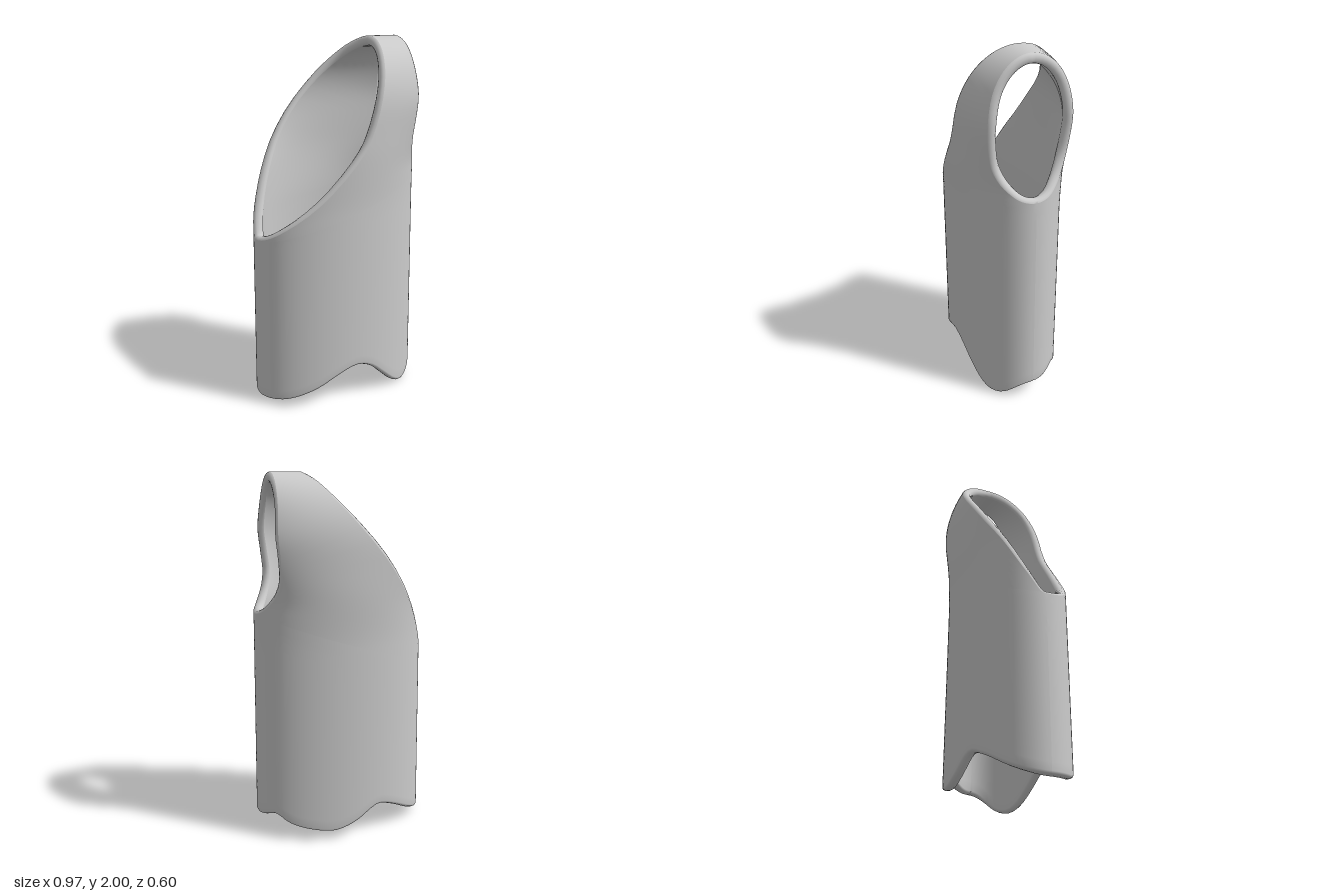
import * as THREE from 'three';
import { mergeVertices } from 'three/addons/utils/BufferGeometryUtils.js';

const T = 0.052;   // cloth thickness
const BULGE = 0.018; // roundness of the rims
const NU = 44, NLOW = 22, NV = 56, NRIM = 5;
const LEFT_TOP = 0.955, RIGHT_TOP = 1.265; // heights where the side seams end

// Oval cross-section of the body: half width and squared half depth at height y
const halfWidth = y => 0.488 - 0.012 * y + 0.14 * THREE.MathUtils.smoothstep(y, 1.3, 1.72);
function depthSq(y) {
  const d = 0.284 + 0.014 * THREE.MathUtils.smoothstep(y, 1.1, 1.45);
  const arch = y > 1.6 ? 1 - Math.pow((y - 1.6) / 0.4, 2.3) : 1;
  return d * d * arch;
}
const field = (x, y) => depthSq(y) * (1 - (x / halfWidth(y)) ** 2);

function surfacePoint(x, y, side) {
  return new THREE.Vector3(x, y, side * Math.sqrt(Math.max(0, field(x, y))));
}
function surfaceNormal(p) {
  const h = 1e-4;
  return new THREE.Vector3(
    (field(p.x - h, p.y) - field(p.x + h, p.y)) / (2 * h),
    (field(p.x, p.y - h) - field(p.x, p.y + h)) / (2 * h),
    2 * p.z).normalize();
}

const spline = pts => new THREE.SplineCurve(pts.map(p => new THREE.Vector2(...p)));
const heightLine = pts => {
  const c = new THREE.CubicInterpolant(pts.map(p => p[0]), pts.map(p => p[1] + BULGE), 1);
  return x => c.evaluate(x)[0];
};

// Wavy hems, slanted necklines and the armhole
const hems = {
  front: heightLine([[-0.49, 0.025], [-0.4, 0.04], [-0.25, 0.1], [-0.1, 0.185], [0, 0.215], [0.1, 0.185],
    [0.2, 0.1], [0.28, 0.03], [0.34, 0.002], [0.41, 0.02], [0.49, 0.11]]),
  back: heightLine([[-0.49, 0.025], [-0.4, 0.07], [-0.25, 0.15], [-0.15, 0.175], [0, 0.09], [0.1, 0.055],
    [0.2, 0.06], [0.35, 0.1], [0.42, 0.145], [0.49, 0.11]]),
};
const neckStart = [-halfWidth(LEFT_TOP), LEFT_TOP];
const necklines = {
  front: spline([neckStart, [-0.4, 1.015], [-0.2, 1.18], [0, 1.4], [0.08, 1.54], [0.145, 1.75], [0.185, 1.9], [0.212, 2]]),
  back: spline([neckStart, [-0.445, 1.08], [-0.35, 1.3], [-0.2, 1.53], [0, 1.765], [0.11, 1.89], [0.17, 1.96], [0.212, 2]]),
};
const armhole = spline([[halfWidth(RIGHT_TOP), RIGHT_TOP], [0.44, 1.3], [0.395, 1.37], [0.372, 1.46],
  [0.378, 1.58], [0.388, 1.7], [0.378, 1.85], [0.37, 2]]);

// One panel (front or back): outer skin, inner skin and rounded rims
function addPanel(name, side, pos, index) {
  const hem = hems[name], neck = necklines[name];
  const P = [], N = [];
  for (let j = 0; j <= NV; j++) {
    P.push([]); N.push([]);
    const s = (1 - Math.cos(Math.PI * Math.max(0, j - NLOW) / (NV - NLOW))) / 2;
    const l = neck.getPoint(s), r = armhole.getPoint(s);
    for (let i = 0; i <= NU; i++) {
      const c = -Math.cos(Math.PI * i / NU), f = (1 + c) / 2;
      let x, y;
      if (j <= NLOW) {
        const top = THREE.MathUtils.lerp(LEFT_TOP, RIGHT_TOP, f);
        y = THREE.MathUtils.lerp(hem(c * 0.489), top, j / NLOW);
        x = c * halfWidth(y);
      } else {
        x = THREE.MathUtils.lerp(l.x, r.x, f);
        y = Math.min(2, THREE.MathUtils.lerp(l.y, r.y, f));
      }
      P[j].push(surfacePoint(x, y, side));
      N[j].push(surfaceNormal(P[j][i]));
    }
  }
  const add = v => pos.push(v.x, v.y, v.z) / 3 - 1;
  const quad = (a, b, c, d, flip) => flip ? index.push(a, c, b, a, d, c) : index.push(a, b, c, a, c, d);

  // Skins
  for (const inner of [false, true]) {
    const ids = P.map((row, j) => row.map((p, i) => add(inner ? p.clone().addScaledVector(N[j][i], -T) : p)));
    for (let j = 0; j < NV; j++) for (let i = 0; i < NU; i++)
      quad(ids[j][i], ids[j][i + 1], ids[j + 1][i + 1], ids[j + 1][i], inner !== (side < 0));
  }

  // Rims: each entry is [i, j, neighbour i, neighbour j], running counter-clockwise
  const hemEdge = [], armEdge = [], neckEdge = [];
  for (let i = 0; i <= NU; i++) hemEdge.push([i, 0, i, 1]);
  for (let j = NLOW; j <= NV; j++) {
    const corner = j === NLOW;
    armEdge.push([NU, j, corner ? NU : NU - 1, corner ? j - 1 : j]);
    neckEdge.unshift([0, j, corner ? 0 : 1, corner ? j - 1 : j]);
  }
  for (const edge of [hemEdge, armEdge, neckEdge]) {
    const rings = edge.map(([i, j, ni, nj], k) => {
      const p = P[j][i], n = N[j][i];
      const [ai, aj] = edge[Math.max(0, k - 1)], [bi, bj] = edge[Math.min(edge.length - 1, k + 1)];
      const away = p.clone().sub(P[nj][ni]);
      // Outward direction square to the edge, kept plain at the ends where panels meet
      if (k > 0 && k < edge.length - 1) {
        const along = P[bj][bi].clone().sub(P[aj][ai]).normalize();
        away.addScaledVector(along, -away.dot(along));
      }
      away.addScaledVector(n, -away.dot(n)).normalize();
      const ring = [];
      for (let q = 0; q <= NRIM; q++) {
        const a = Math.PI * q / NRIM;
        ring.push(add(p.clone().addScaledVector(n, (Math.cos(a) - 1) * T / 2).addScaledVector(away, BULGE * Math.sin(a))));
      }
      return ring;
    });
    for (let k = 0; k + 1 < rings.length; k++) for (let q = 0; q < NRIM; q++)
      quad(rings[k][q], rings[k][q + 1], rings[k + 1][q + 1], rings[k + 1][q], side < 0);
  }
}

export function createModel() {
  const group = new THREE.Group();
  group.name = 'oneShoulderTop';
  const pos = [], index = [];
  addPanel('front', 1, pos, index);
  addPanel('back', -1, pos, index);

  let geometry = new THREE.BufferGeometry();
  geometry.setAttribute('position', new THREE.Float32BufferAttribute(pos, 3));
  geometry.setIndex(index);
  geometry = mergeVertices(geometry, 1e-4);
  geometry.computeVertexNormals();

  // Rest the hem on the ground
  geometry.computeBoundingBox();
  geometry.translate(0, -geometry.boundingBox.min.y, 0);

  const garment = new THREE.Mesh(geometry, new THREE.MeshStandardMaterial({ color: 0xcccccc, side: THREE.DoubleSide }));
  garment.name = 'garment';
  group.add(garment);
  return group;
}
